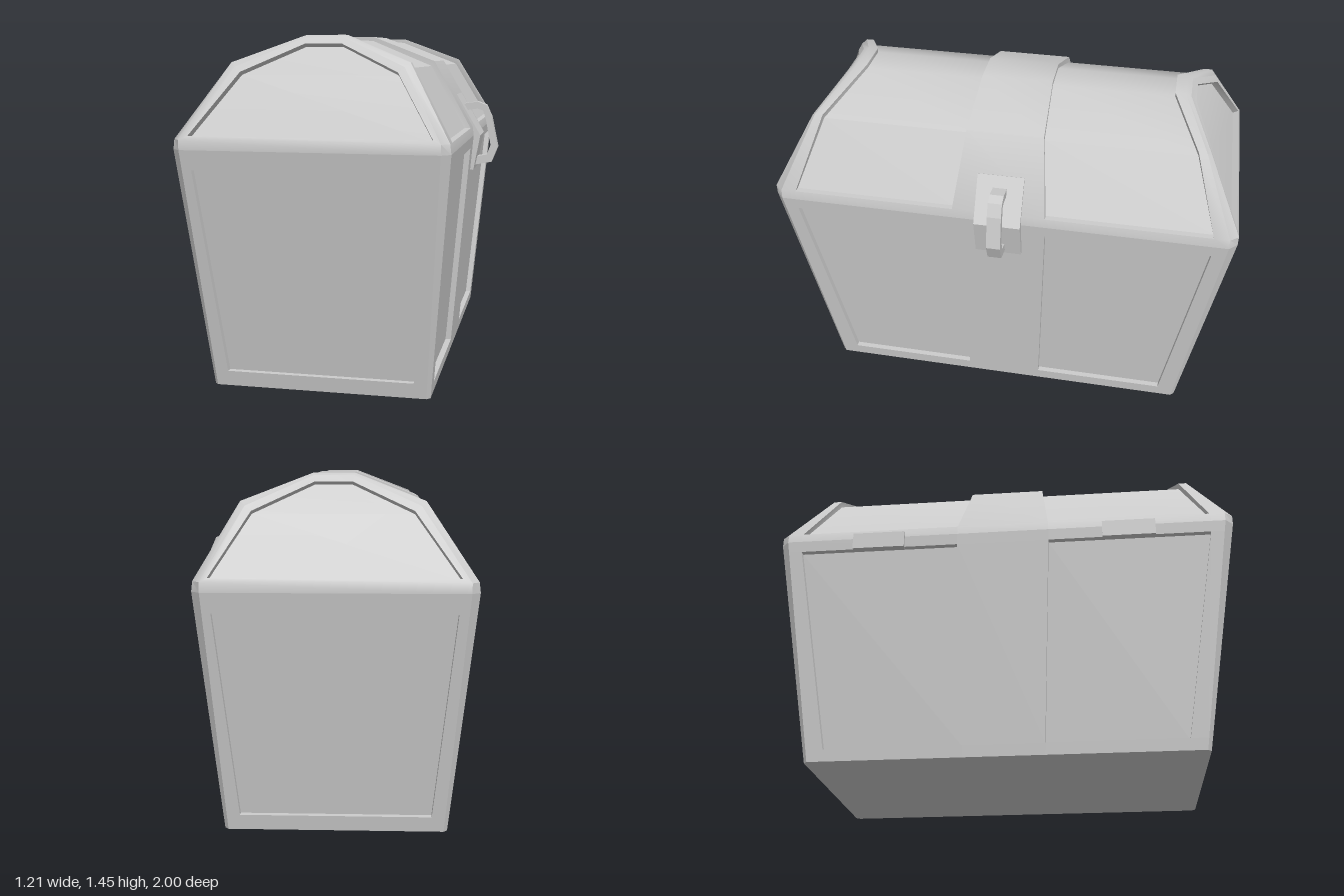
import * as THREE from 'three';
import { toCreasedNormals } from 'three/addons/utils/BufferGeometryUtils.js';

const material = new THREE.MeshStandardMaterial({ color: 0xcccccc });
const DEPTH = 0.025;
const lerp = THREE.MathUtils.lerp;

function addMesh(group, name, geometry) {
  const mesh = new THREE.Mesh(geometry, material);
  mesh.name = name;
  group.add(mesh);
  return mesh;
}

// Skin a grid of points (rows of [x, y, z]), skipping collapsed triangles
function skin(rows, flip = false) {
  const pos = [];
  const tri = (...pts) => {
    const [a, b, c] = pts.map((p) => new THREE.Vector3(...p));
    if (b.clone().sub(a).cross(c.clone().sub(a)).length() < 1e-7) return;
    pos.push(...a, ...b, ...c);
  };
  const grid = flip ? rows.map((r) => [...r].reverse()) : rows;
  for (let i = 0; i < grid.length - 1; i++) {
    for (let j = 0; j < grid[i].length - 1; j++) {
      const a = grid[i][j], b = grid[i][j + 1], c = grid[i + 1][j], d = grid[i + 1][j + 1];
      tri(a, b, c);
      tri(b, d, c);
    }
  }
  const g = new THREE.BufferGeometry();
  g.setAttribute('position', new THREE.Float32BufferAttribute(pos, 3));
  return toCreasedNormals(g, 0.6);
}

// Wall with sunk panels: cols are [atBottom, atTop, sunk], place(u, y, depth) gives the point
function wall(cols, low, high, place, flip) {
  const rows = [[0, 0], [low, 0], [low, 1], [high, 1], [high, 0], [1, 0]];
  return skin(rows.map(([y, sunkRow]) => cols.map(([b, t, sunkCol]) =>
    place(lerp(b, t, y), y, sunkRow && sunkCol ? DEPTH : 0))), flip);
}

function buildBody() {
  const body = new THREE.Group();
  body.name = 'body';

  // Long walls: two panels either side of a middle band
  const half = [[0.815, 0.965, 0], [0.742, 0.908, 0], [0.742, 0.908, 1], [0.168, 0.202, 1], [0.168, 0.202, 0]];
  const sideCols = [...half, ...half.map(([b, t, s]) => [-b, -t, s]).reverse()];
  addMesh(body, 'leftWall', wall(sideCols, 0.05, 0.95,
    (z, y, d) => [lerp(0.41, 0.5, y) - d, y, z], false));
  addMesh(body, 'rightWall', wall(sideCols, 0.05, 0.95,
    (z, y, d) => [lerp(-0.5, -0.595, y) + d, y, z], true));

  // End walls: one panel each
  const endCols = [[-0.485, -0.56, 0], [-0.429, -0.5225, 0], [-0.429, -0.5225, 1],
    [0.339, 0.4325, 1], [0.339, 0.4325, 0], [0.395, 0.465, 0]];
  for (const s of [1, -1]) {
    addMesh(body, s > 0 ? 'frontWall' : 'backWall', wall(endCols, 0.065, 0.92,
      (x, y, d) => [x, y, s * (lerp(0.83, 1, y) - d)], s < 0));

    // Chamfered corner posts
    addMesh(body, 'leftCorner', skin([
      [[0.395, 0, s * 0.83], [0.41, 0, s * 0.815]],
      [[0.465, 1, s], [0.5, 1, s * 0.965]]], s < 0));
    addMesh(body, 'rightCorner', skin([
      [[-0.5, 0, s * 0.815], [-0.485, 0, s * 0.83]],
      [[-0.595, 1, s * 0.965], [-0.56, 1, s]]], s < 0));
  }

  // Floor
  addMesh(body, 'floor', skin([
    [[0.395, 0, 0.83], [-0.485, 0, 0.83]], [[0.41, 0, 0.815], [-0.5, 0, 0.815]],
    [[0.41, 0, -0.815], [-0.5, 0, -0.815]], [[0.395, 0, -0.83], [-0.485, 0, -0.83]]]));
  return body;
}

function buildLid() {
  const lid = new THREE.Group();
  lid.name = 'lid';

  // Levels of the arch: rim foot, rim top, shoulder, crown
  // p = raised arch, q = sunk arch, e = end outline, each as [right x, left x, y]
  const foot = { p: [0.5, -0.595, 1], e: [0.465, -0.56, 1], end: 1, edge: 0.965, frame: 0.905, band: 0.2 };
  foot.q = foot.p;
  const rim = { ...foot, p: [0.495, -0.59, 1.04], e: [0.465, -0.56, 1.04], frame: 0.9 };
  rim.q = rim.p;
  const rimSunk = { ...rim, q: [0.468, -0.562, 1.04] };
  const shoulder = { p: [0.325, -0.395, 1.337], q: [0.312, -0.382, 1.315], e: [0.305, -0.375, 1.32],
    end: 0.855, edge: 0.835, frame: 0.8, band: 0.165 };
  const crown = { p: [0.045, -0.115, 1.445], q: [0.042, -0.112, 1.427], e: [0.043, -0.113, 1.435],
    end: 0.748, edge: 0.725, frame: 0.68, band: 0.155 };
  const levels = [foot, rim, rimSunk, shoulder, crown];

  // Arched top: raised end frames and middle band over sunk panels
  const row = (L, k) => {
    const at = (key, z) => [L[key][k], L[key][2], z];
    const cols = [at('e', L.end), at('p', L.edge), at('p', L.frame), at('q', L.frame), at('q', L.band), at('p', L.band)];
    return [...cols, ...cols.map(([x, y, z]) => [x, y, -z]).reverse()];
  };
  addMesh(lid, 'lidTop', skin([
    ...levels.map((L) => row(L, 0)), ...levels.map((L) => row(L, 1)).reverse()]));

  // Leaning ends with a sunk panel; window levels are [right x, left x, y, z]
  const windows = [[0.435, -0.525, 1.055, 0.992], [0.28, -0.35, 1.3, 0.865], [0.04, -0.11, 1.41, 0.772]];
  const endRow = (L, w, sunk) => {
    const d = sunk ? DEPTH : 0;
    const [eR, eL, eY] = L.e, [wR, wL, wY, wZ] = w;
    return [[eL, eY, L.end], [wL, wY, wZ], [wL, wY - d * 0.5, wZ - d],
      [wR, wY - d * 0.5, wZ - d], [wR, wY, wZ], [eR, eY, L.end]];
  };
  const plain = (L) => endRow(L, [...L.e, L.end], false);
  const rows = [plain(foot), plain(rim), endRow(rim, windows[0], false), endRow(rim, windows[0], true),
    endRow(shoulder, windows[1], true), endRow(crown, windows[2], true),
    endRow(crown, windows[2], false), plain(crown)];
  addMesh(lid, 'lidFrontEnd', skin(rows));
  addMesh(lid, 'lidBackEnd', skin(rows.map((r) => r.map(([x, y, z]) => [x, y, -z])), true));
  return lid;
}

// Extrude an outline in x and y, centred on z
function slab(points, width) {
  const shape = new THREE.Shape(points.map((p) => new THREE.Vector2(...p)));
  return new THREE.ExtrudeGeometry(shape, { depth: width, bevelEnabled: false }).translate(0, 0, -width / 2);
}

export function createModel() {
  const chest = new THREE.Group();
  chest.name = 'chest';
  chest.add(buildBody(), buildLid());

  // Clasp: bent plate and looped handle
  const clasp = new THREE.Group();
  clasp.name = 'clasp';
  addMesh(clasp, 'claspPlate', slab([[0.39, 1.17], [0.42, 1.187], [0.53, 1.0], [0.5, 0.84], [0.47, 0.845], [0.47, 1.0]], 0.2));
  addMesh(clasp, 'claspHandle', slab([[0.44, 1.14], [0.51, 1.15], [0.55, 1.135], [0.575, 1.08], [0.605, 0.94],
    [0.578, 0.872], [0.49, 0.855], [0.49, 0.892], [0.555, 0.905], [0.572, 0.95], [0.548, 1.07],
    [0.535, 1.11], [0.51, 1.118], [0.44, 1.108]], 0.06));
  chest.add(clasp);

  // Hinges
  for (const z of [0.55, -0.55]) {
    addMesh(chest, 'hinge', new THREE.BoxGeometry(0.025, 0.075, 0.23)).position.set(-0.5945, 0.983, z);
  }
  return chest;
}
